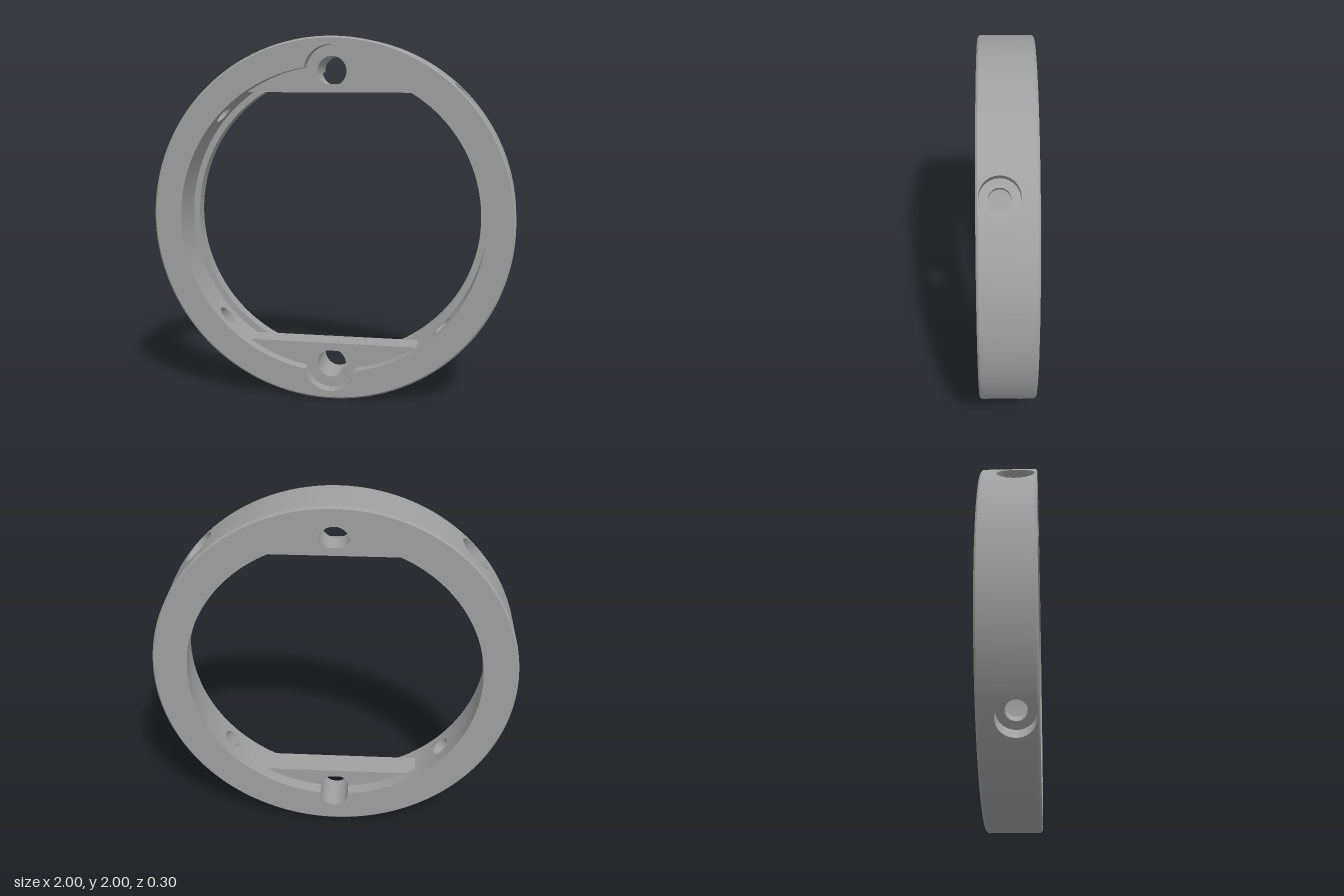
import * as THREE from 'three';
import { toCreasedNormals } from 'three/addons/utils/BufferGeometryUtils.js';

const OUT = 1, BORE = 0.845, LIP = 0.81, HALF = 0.15, BEVEL = 0.01;
const STEP = 0.075;              // half thickness of the tabs, also front of the lip
const PIN = 0.815;               // distance of tab holes from the centre
const CHORD = 0.7;               // distance of the tab edge from the centre
const SCREW_Z = 0.0375, SCREW_W = 0.14;
const A = THREE.MathUtils.degToRad(43);
const SCREWS = [A, Math.PI - A, Math.PI + A, 2 * Math.PI - A];

// Surface from a rule f(u, v) -> [x, y, z]
function grid(f, nu, nv) {
  const pos = [], idx = [];
  for (let i = 0; i <= nu; i++) {
    for (let j = 0; j <= nv; j++) pos.push(...f(i / nu, j / nv));
  }
  for (let i = 0; i < nu; i++) {
    for (let j = 0; j < nv; j++) {
      const a = i * (nv + 1) + j, b = a + nv + 1;
      idx.push(a, b, b + 1, a, b + 1, a + 1);
    }
  }
  const g = new THREE.BufferGeometry();
  g.setAttribute('position', new THREE.Float32BufferAttribute(pos, 3));
  g.setIndex(idx);
  g.computeVertexNormals();
  return g;
}

// Points along an arc centred on (0, cy)
function arc(cy, r, a0, a1, n) {
  return Array.from({ length: n + 1 }, (_, i) => {
    const a = a0 + (a1 - a0) * i / n;
    return new THREE.Vector2(r * Math.cos(a), cy + r * Math.sin(a));
  });
}

// Angles where a pin circle of radius r crosses the bore circle of radius R
function crossing(R, r) {
  const y = (R * R - r * r + PIN * PIN) / (2 * PIN);
  return { alpha: Math.asin(y / R), beta: Math.atan2(y - PIN, Math.sqrt(R * R - y * y)) };
}

// Bore outline with a round notch at top and bottom
function notchedBore(R, r) {
  const { alpha, beta } = crossing(R, r), P = Math.PI;
  return new THREE.Path([
    ...arc(0, R, -alpha, alpha, 64), ...arc(PIN, r, beta, P - beta, 28).slice(1),
    ...arc(0, R, P - alpha, P + alpha, 64).slice(1), ...arc(-PIN, r, P + beta, 2 * P - beta, 28).slice(1, -1),
  ]);
}

// Band between two circles over a range of angles
const band = (r0, z0, r1, z1, a0, a1) => grid((u, v) => {
  const a = a0 + (a1 - a0) * u, r = r0 + (r1 - r0) * v;
  return [r * Math.cos(a), r * Math.sin(a), z0 + (z1 - z0) * v];
}, Math.max(4, Math.ceil((a1 - a0) * 24)), 1);

// Piece of cylinder wall at angle a with a round hole through it
function piercedWall(R, r, a, z0, z1) {
  const w = SCREW_W * R, lo = z0 - SCREW_Z, hi = z1 - SCREW_Z;
  const corners = [[w, lo], [w, hi], [-w, hi], [-w, lo], [w, lo]];
  return grid((u, v) => {
    const k = Math.min(3, Math.floor(u * 4 + 1e-9)), t = u * 4 - k;
    const s = corners[k][0] + (corners[k + 1][0] - corners[k][0]) * t;
    const z = corners[k][1] + (corners[k + 1][1] - corners[k][1]) * t;
    const psi = Math.atan2(z, s), hs = R * Math.asin(r * Math.cos(psi) / R), hz = r * Math.sin(psi);
    const b = a + (hs + (s - hs) * v) / R;
    return [R * Math.cos(b), R * Math.sin(b), SCREW_Z + hz + (z - hz) * v];
  }, 48, 4);
}

// Surface of revolution about a screw axis; ends are [radius, height(t)]
function screwSurface(a, [r0, h0], [r1, h1]) {
  const c = Math.cos(a), s = Math.sin(a);
  return grid((u, v) => {
    const p = u * Math.PI * 2, r = r0 + (r1 - r0) * v, t = r * Math.cos(p);
    const h = h0(t) + (h1(t) - h0(t)) * v;
    return [h * c - t * s, h * s + t * c, SCREW_Z + r * Math.sin(p)];
  }, 40, 1);
}

export function createModel() {
  const model = new THREE.Group();
  const grey = new THREE.MeshStandardMaterial({ color: 0xa0a0a0, side: THREE.DoubleSide });
  grey.name = 'grey metal';
  const add = (name, geometry, parent = model) => {
    const mesh = new THREE.Mesh(geometry, grey);
    mesh.name = name;
    parent.add(mesh);
    return mesh;
  };
  const extrude = (shape, depth, z) => {
    const g = new THREE.ExtrudeGeometry(shape, { depth, bevelEnabled: false, curveSegments: 40 });
    return toCreasedNormals(g.translate(0, 0, z), 0.5);
  };
  const disc = () => new THREE.Shape(arc(0, OUT - BEVEL, 0, Math.PI * 2, 160).slice(0, -1));
  const { alpha, beta } = crossing(BORE, 0.14);
  const edge = HALF - BEVEL;

  // Outer wall with bevelled rims
  SCREWS.forEach((a, i) => {
    const next = i < 3 ? SCREWS[i + 1] : SCREWS[0] + Math.PI * 2;
    add('outerWall', band(OUT, -edge, OUT, edge, a + SCREW_W, next - SCREW_W));
    add('outerWallAtScrew', piercedWall(OUT, 0.1, a, -edge, edge));
  });
  add('frontBevel', band(OUT, edge, OUT - BEVEL, HALF, 0, Math.PI * 2));
  add('backBevel', band(OUT - BEVEL, -HALF, OUT, -edge, 0, Math.PI * 2));

  // Front face and the back lip
  const front = disc();
  front.holes.push(notchedBore(BORE, 0.14));
  add('frontFace', new THREE.ShapeGeometry(front).translate(0, 0, HALF));
  const lip = disc();
  lip.holes.push(notchedBore(LIP, 0.08));
  add('backLip', extrude(lip, HALF - STEP, -HALF));

  // Inner wall on both sides
  for (const turn of [0, Math.PI]) {
    const spans = [[-alpha, -A - SCREW_W], [-A + SCREW_W, A - SCREW_W], [A + SCREW_W, alpha]];
    for (const [a0, a1] of spans) add('innerWall', band(BORE, -STEP, BORE, HALF, a0 + turn, a1 + turn));
    for (const a of [-A, A]) add('innerWallAtScrew', piercedWall(BORE, 0.055, a + turn, -STEP, HALF));
  }

  // Stepped screw holes
  const onCylinder = (R) => (t) => Math.sqrt(R * R - t * t), floor = () => 0.9;
  for (const a of SCREWS) {
    const hole = new THREE.Group();
    hole.name = 'screwHole';
    model.add(hole);
    add('screwRecess', screwSurface(a, [0.1, onCylinder(OUT)], [0.1, floor]), hole);
    add('screwSeat', screwSurface(a, [0.1, floor], [0.055, floor]), hole);
    add('screwBore', screwSurface(a, [0.055, floor], [0.055, onCylinder(BORE)]), hole);
  }

  // Flat-edged tabs with pin holes, and the round notches in front of them
  const start = Math.asin(CHORD / BORE), P = Math.PI;
  const tab = new THREE.Shape([
    ...arc(0, BORE, start, alpha, 16), ...arc(PIN, 0.14, beta, P - beta, 28).slice(1),
    ...arc(0, BORE, P - alpha, P - start, 16).slice(1),
  ]);
  tab.holes.push(new THREE.Path(arc(PIN, 0.08, 0, P * 2, 40).slice(0, -1)));
  const tabGeometry = extrude(tab, STEP * 2, -STEP);
  const notchGeometry = grid((u, v) => {
    const b = beta + (P - 2 * beta) * u;
    return [0.14 * Math.cos(b), PIN + 0.14 * Math.sin(b), STEP + (HALF - STEP) * v];
  }, 28, 1);
  ['top', 'bottom'].forEach((side, i) => {
    add(side + 'Tab', tabGeometry).rotation.z = i * P;
    add(side + 'Notch', notchGeometry).rotation.z = i * P;
  });

  model.position.y = OUT;
  const root = new THREE.Group();
  root.name = 'mountingRing';
  model.name = 'ring';
  root.add(model);
  return root;
}
